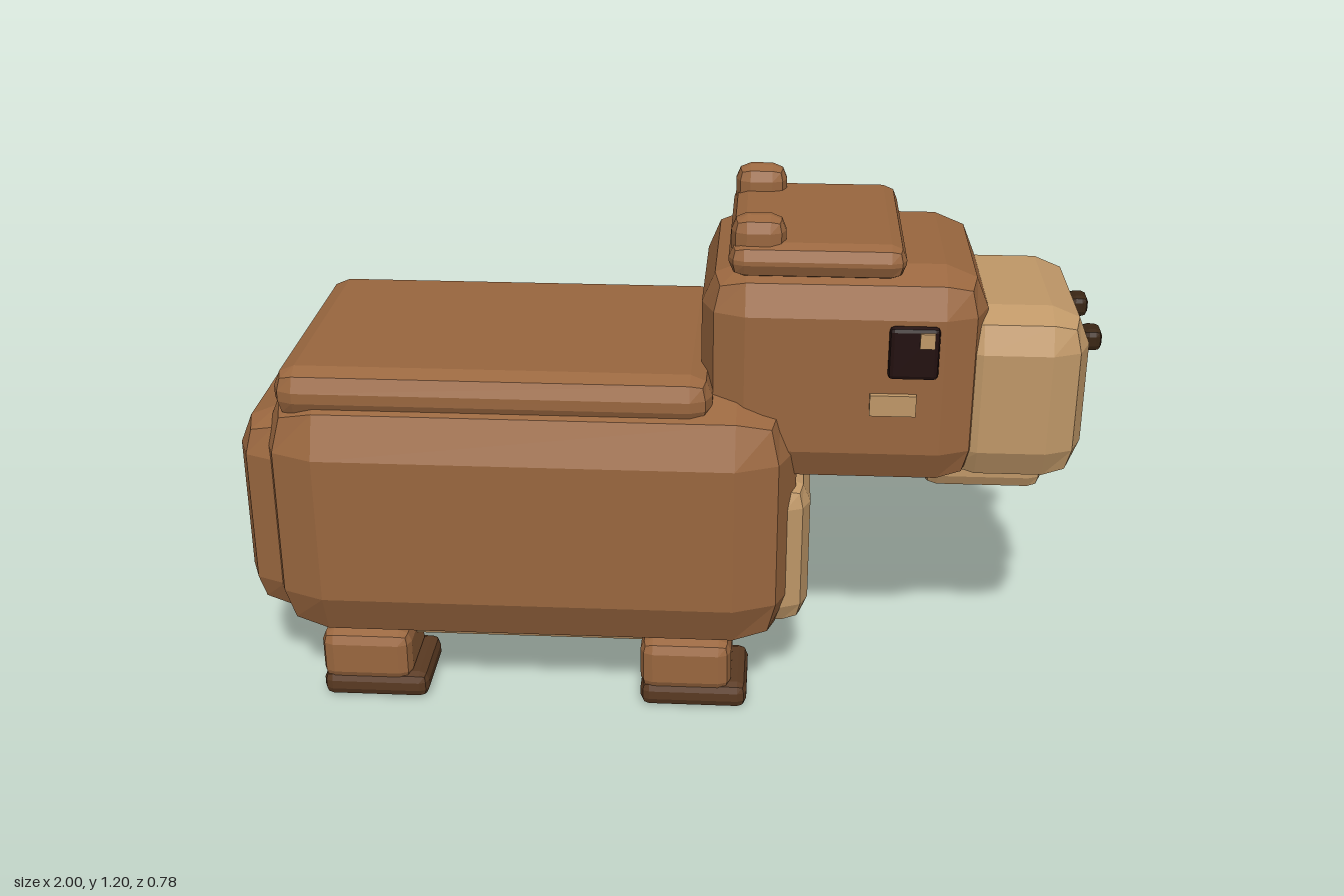
import * as THREE from 'three';
import { RoundedBoxGeometry } from 'three/addons/geometries/RoundedBoxGeometry.js';

const mat = (name, color) => {
  const m = new THREE.MeshStandardMaterial({ color });
  m.name = name;
  return m;
};

export function createModel() {
  const fur = mat('brown fur', 0x9a673f);
  const tan = mat('tan fur', 0xc09868);
  const hoof = mat('dark brown foot', 0x5a3a22);
  const eyeDark = mat('eye black', 0x22100f);
  const noseDark = mat('nose brown', 0x3a2614);

  const model = new THREE.Group();
  model.name = 'animal';

  // Faceted box given by its extents, with bevel radius r
  const block = (name, m, [x0, x1], [y0, y1], [z0, z1], r) => {
    const g = r
      ? new RoundedBoxGeometry(x1 - x0, y1 - y0, z1 - z0, 1, r)
      : new THREE.BoxGeometry(x1 - x0, y1 - y0, z1 - z0);
    if (r) g.computeVertexNormals(); // flat facets
    const mesh = new THREE.Mesh(g, m);
    mesh.name = name;
    mesh.position.set((x0 + x1) / 2, (y0 + y1) / 2, (z0 + z1) / 2);
    model.add(mesh);
  };
  // The same block on both sides of the body
  const pair = (name, m, x, y, [z0, z1], r) => {
    block(name + 'Front', m, x, y, [z0, z1], r);
    block(name + 'Back', m, x, y, [-z1, -z0], r);
  };

  // Trunk
  block('body', fur, [-0.935, 0.31], [0.15, 0.79], [-0.39, 0.39], 0.14);
  block('rump', fur, [-1, -0.65], [0.195, 0.72], [-0.325, 0.325], 0.1);
  block('backPad', fur, [-0.89, 0.115], [0.72, 0.845], [-0.34, 0.34], 0.05);
  block('belly', tan, [-0.78, 0.16], [0.12, 0.3], [-0.27, 0.27], 0.04);
  block('chest', tan, [0.1, 0.345], [0.195, 0.57], [-0.297, 0.297], 0.06);

  // Legs and feet
  for (const [end, x] of [['hind', -0.82], ['fore', -0.05]]) {
    pair(end + 'Leg', fur, [x, x + 0.217], [0.04, 0.175], [0.15, 0.352], 0.03);
    pair(end + 'Foot', hoof, [x, x + 0.255], [0, 0.065], [0.145, 0.352], 0.022);
  }

  // Head
  block('head', fur, [0.085, 0.73], [0.56, 1.085], [-0.29, 0.29], 0.1);
  block('crown', fur, [0.145, 0.54], [1.06, 1.14], [-0.26, 0.26], 0.035);
  pair('ear', fur, [0.15, 0.272], [1.08, 1.197], [0.153, 0.24], 0.035);
  block('muzzle', tan, [0.63, 0.965], [0.565, 0.985], [-0.26, 0.26], 0.09);
  block('jaw', tan, [0.605, 0.885], [0.53, 0.64], [-0.2, 0.2], 0.035);

  // Face details
  pair('eye', eyeDark, [0.505, 0.617], [0.85, 0.975], [0.284, 0.31], 0.011);
  pair('eyeGlint', tan, [0.572, 0.605], [0.93, 0.965], [0.309, 0.318]);
  pair('cheekMark', tan, [0.468, 0.572], [0.76, 0.81], [0.288, 0.304]);
  pair('nostril', noseDark, [0.955, 1], [0.862, 0.914], [0.077, 0.143], 0.015);
  block('mouth', noseDark, [0.958, 0.982], [0.63, 0.656], [-0.073, 0.073]);

  return model;
}
